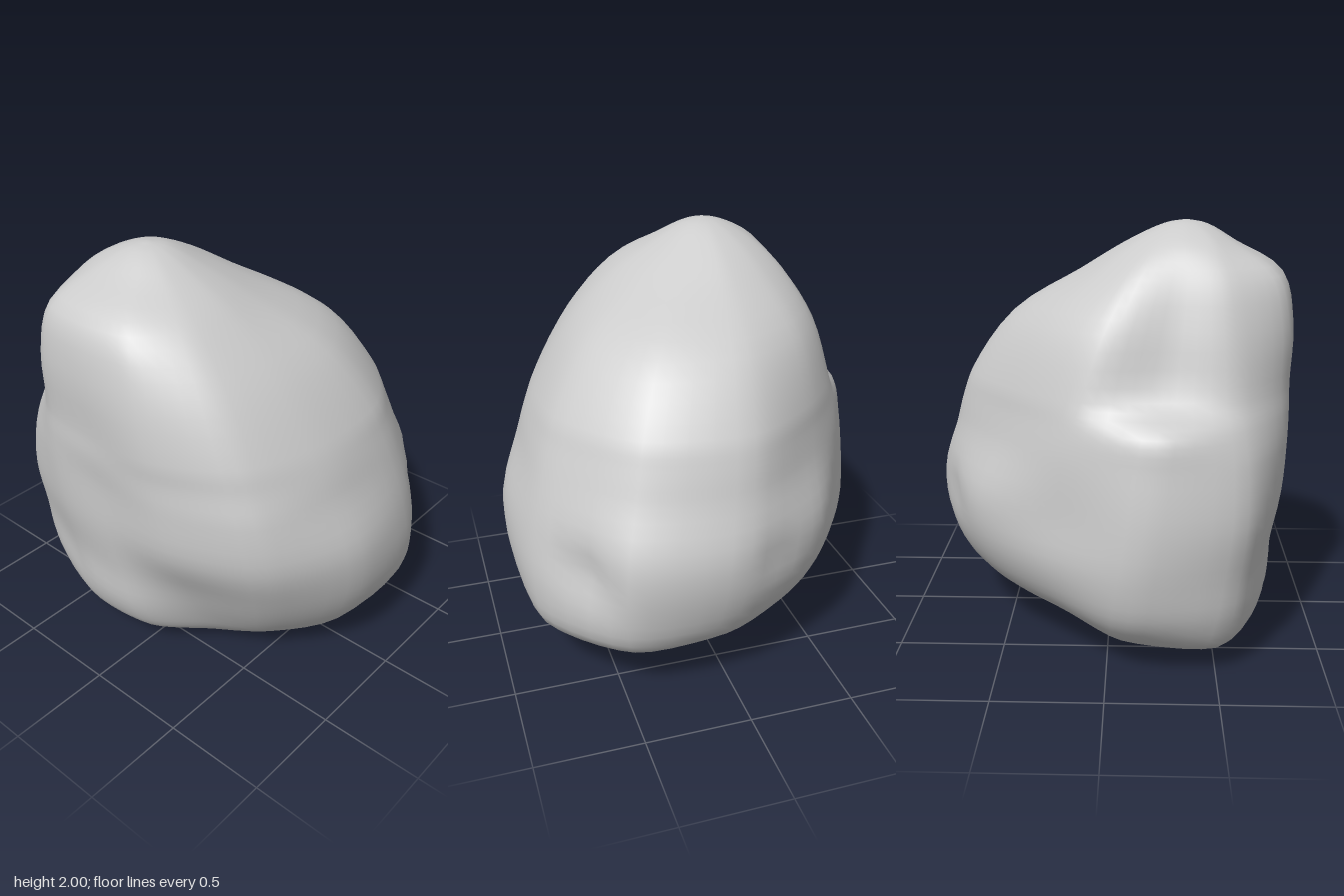
import * as THREE from 'three';
import { mergeVertices } from 'three/addons/utils/BufferGeometryUtils.js';

// Height of each cross-section, then its radii every 30 degrees from +x towards +z
const sections = [
  [0.03, [0.48, 0.40, 0.38, 0.40, 0.36, 0.32, 0.26, 0.22, 0.22, 0.25, 0.32, 0.44]],
  [0.12, [0.65, 0.53, 0.48, 0.60, 0.72, 0.87, 0.70, 0.47, 0.44, 0.48, 0.58, 0.66]],
  [0.28, [0.80, 0.66, 0.56, 0.67, 0.77, 0.93, 0.87, 0.70, 0.70, 0.80, 0.93, 0.92]],
  [0.50, [0.91, 0.78, 0.64, 0.67, 0.74, 0.92, 0.91, 0.80, 0.84, 0.94, 1.04, 1.00]],
  [0.75, [0.95, 0.87, 0.73, 0.67, 0.74, 0.90, 0.89, 0.79, 0.88, 1.00, 1.09, 1.01]],
  [1.00, [0.89, 0.86, 0.72, 0.64, 0.71, 0.82, 0.83, 0.77, 0.81, 0.96, 1.03, 0.98]],
  [1.15, [0.86, 0.82, 0.70, 0.63, 0.68, 0.74, 0.78, 0.74, 0.78, 0.94, 1.00, 0.95]],
  [1.27, [0.82, 0.79, 0.69, 0.61, 0.65, 0.66, 0.61, 0.70, 0.76, 0.91, 0.97, 0.92]],
  [1.55, [0.67, 0.66, 0.62, 0.57, 0.60, 0.54, 0.48, 0.59, 0.65, 0.75, 0.80, 0.75]],
  [1.77, [0.45, 0.48, 0.50, 0.48, 0.50, 0.42, 0.37, 0.42, 0.43, 0.45, 0.45, 0.44]],
  [1.90, [0.25, 0.26, 0.26, 0.25, 0.27, 0.28, 0.26, 0.26, 0.26, 0.26, 0.24, 0.24]],
  [1.98, Array(12).fill(0.1)],
];

// Local hollows (positive) and bulges (negative): x, y, z, reach, depth
const dents = [
  [0.64, 0.65, -0.60, 0.13, 0.07],
  [-0.20, 0.70, -0.78, 0.12, 0.03],
  [-0.42, 0.35, 0.80, 0.12, 0.02],
];

// The core leans left and forward as it rises
const core = (y) => new THREE.Vector3(0.05 - 0.125 * y, y, 0.05 + 0.15 * y);

function dent(p) {
  const inward = core(p.y).sub(p).normalize();
  for (const [x, y, z, reach, depth] of dents) {
    const d = p.distanceTo(new THREE.Vector3(x, y, z)) / reach;
    p.addScaledVector(inward, depth * Math.exp(-d * d));
  }
  return p;
}

function boulderGeometry(rows = 52, cols = 60) {
  // One upright curve per direction, closed at both poles
  const ribs = Array.from({ length: 12 }, (_, k) => {
    const a = (k * Math.PI) / 6;
    const pts = sections.map(([y, r]) =>
      core(y).add(new THREE.Vector3(Math.cos(a) * r[k], 0, Math.sin(a) * r[k])));
    return new THREE.CatmullRomCurve3([core(0), ...pts, core(2)]);
  });
  const positions = [];
  const index = [];
  for (let i = 0; i <= rows; i++) {
    // A slightly tight loop keeps the worn facets readable
    const points = ribs.map((c) => c.getPoint(i / rows));
    const loop = new THREE.CatmullRomCurve3(points, true, 'catmullrom', 0.4);
    const pole = i === 0 || i === rows;
    for (let j = 0; j < cols; j++) {
      const p = pole ? core(i === 0 ? 0 : 2) : dent(loop.getPoint(j / cols));
      positions.push(p.x, Math.max(0, p.y), p.z);
      if (i === rows) continue;
      const a = i * cols + j;
      const b = i * cols + ((j + 1) % cols);
      if (i < rows - 1) index.push(a, a + cols, b + cols);
      if (i > 0) index.push(a, b + cols, b);
    }
  }
  const geometry = new THREE.BufferGeometry();
  geometry.setAttribute('position', new THREE.Float32BufferAttribute(positions, 3));
  geometry.setIndex(index);
  const merged = mergeVertices(geometry);
  merged.computeVertexNormals();
  return merged;
}

export function createModel() {
  const group = new THREE.Group();
  group.name = 'rock';
  const boulder = new THREE.Mesh(
    boulderGeometry(),
    new THREE.MeshStandardMaterial({ color: 0xcccccc }),
  );
  boulder.name = 'boulder';
  group.add(boulder);
  return group;
}
